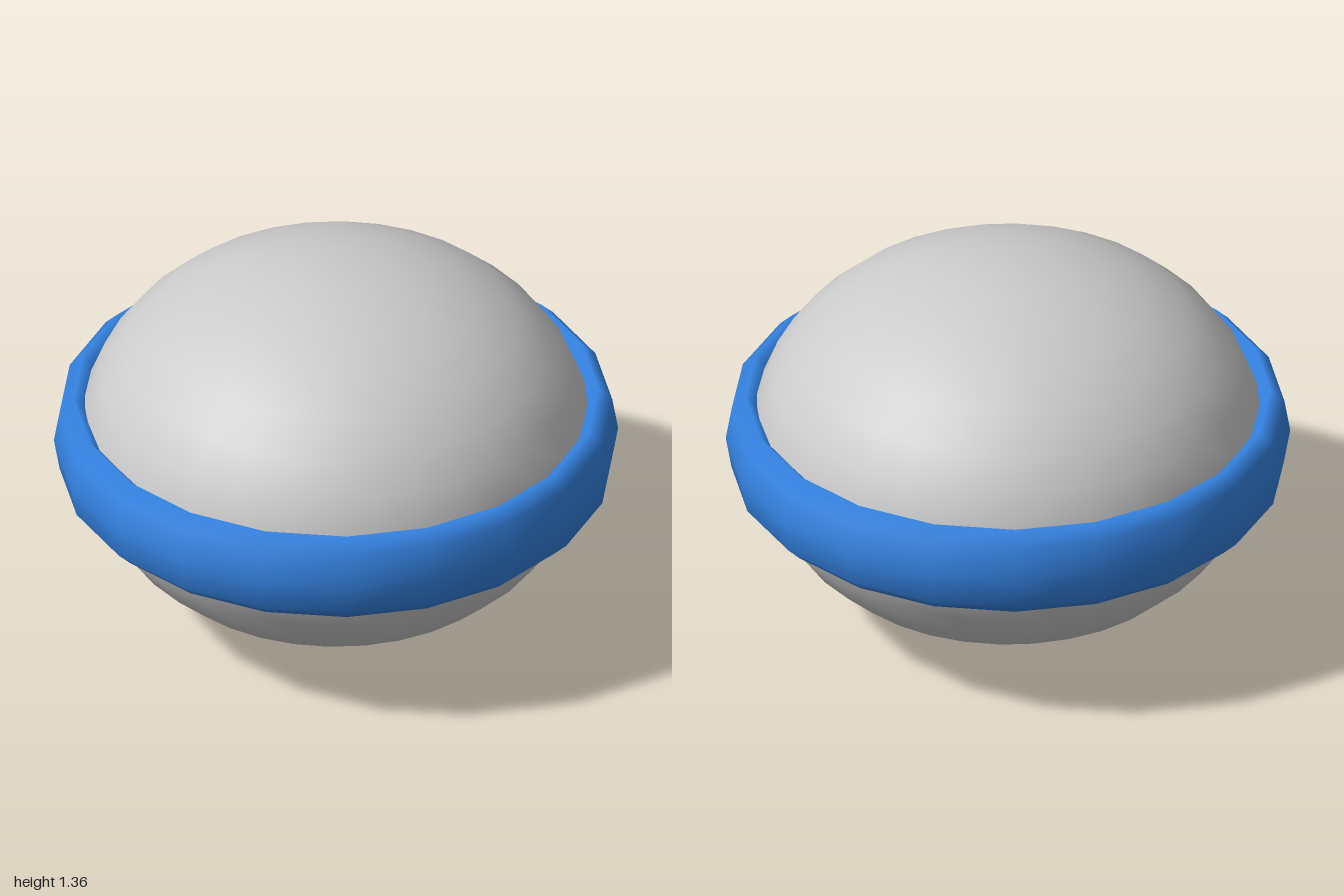
import * as THREE from 'three';

const CENTRE_Y = 0.68;

export function createModel() {
  const group = new THREE.Group();

  // Flattened ball
  const body = new THREE.Mesh(
    new THREE.SphereGeometry(1, 32, 16).scale(0.91, CENTRE_Y, 0.91),
    new THREE.MeshStandardMaterial({ color: 0xcccccc })
  );
  body.name = 'body';
  body.position.y = CENTRE_Y;
  group.add(body);

  // Twenty-sided belt: a torus stretched upward into a tall, rounded band
  const band = new THREE.Mesh(
    new THREE.TorusGeometry(0.93, 0.07, 8, 20).rotateX(Math.PI / 2).scale(1, 0.17 / 0.07, 1),
    new THREE.MeshStandardMaterial({ color: 0x3584e4 })
  );
  band.name = 'equatorBand';
  band.position.y = CENTRE_Y;
  group.add(band);

  return group;
}
